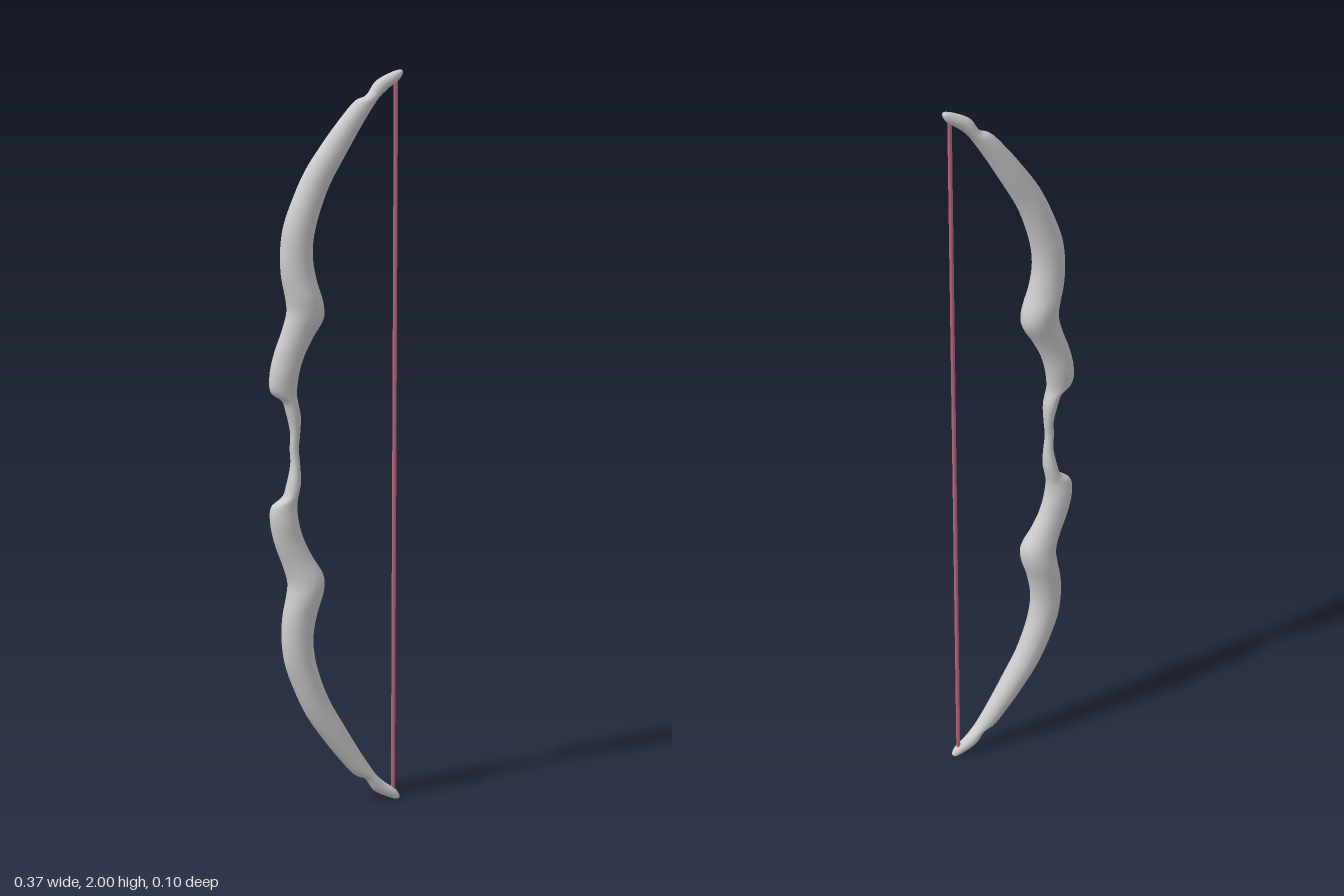
import * as THREE from 'three';

// Upper half of the stave, from grip to tip:
// [outer x, outer y, inner x, inner y, half width in z]
const SECTIONS = [
  [-0.13, 1.0, -0.105, 1.0, 0.013],
  [-0.128, 1.04, -0.102, 1.04, 0.016],
  [-0.14, 1.1, -0.1, 1.09, 0.024],
  [-0.15, 1.13, -0.106, 1.12, 0.027],
  [-0.182, 1.155, -0.11, 1.15, 0.029],
  [-0.185, 1.2, -0.105, 1.2, 0.034],
  [-0.172, 1.26, -0.09, 1.25, 0.034],
  [-0.15, 1.32, -0.065, 1.3, 0.037],
  [-0.137, 1.37, -0.036, 1.35, 0.045],
  [-0.141, 1.41, -0.037, 1.39, 0.049],
  [-0.151, 1.46, -0.055, 1.45, 0.045],
  [-0.154, 1.52, -0.066, 1.51, 0.042],
  [-0.146, 1.59, -0.064, 1.56, 0.041],
  [-0.122, 1.66, -0.05, 1.62, 0.039],
  [-0.085, 1.74, -0.02, 1.7, 0.036],
  [-0.038, 1.81, 0.022, 1.775, 0.033],
  [0.012, 1.875, 0.066, 1.85, 0.028],
  [0.055, 1.922, 0.1, 1.903, 0.024],
  [0.083, 1.934, 0.117, 1.927, 0.021],
  [0.108, 1.97, 0.143, 1.951, 0.019],
  [0.148, 1.992, 0.175, 1.975, 0.015],
  [0.172, 2.0, 0.184, 1.993, 0.009],
  [0.182, 2.0, 0.182, 2.0, 0],
];

// Loft elliptical rings between the outer and inner edge of the stave
function staveGeometry(sides = 16, steps = 160) {
  const mirrored = SECTIONS.slice(1).reverse().map(([a, b, c, d, w]) => [a, 2 - b, c, 2 - d, w]);
  const all = [...mirrored, ...SECTIONS];
  const outer = new THREE.CatmullRomCurve3(all.map(s => new THREE.Vector3(s[0], s[1], s[4])));
  const inner = new THREE.CatmullRomCurve3(all.map(s => new THREE.Vector3(s[2], s[3], 0)));
  const pos = [], index = [];
  for (let i = 0; i <= steps; i++) {
    const o = outer.getPoint(i / steps), n = inner.getPoint(i / steps);
    for (let j = 0; j < sides; j++) {
      const a = (j / sides) * Math.PI * 2, k = (1 + Math.cos(a)) / 2;
      pos.push(o.x + (n.x - o.x) * k, o.y + (n.y - o.y) * k, Math.sin(a) * o.z);
      if (i === steps) continue;
      const p = i * sides + j, q = i * sides + (j + 1) % sides;
      index.push(p, p + sides, q, q, p + sides, q + sides);
    }
  }
  const g = new THREE.BufferGeometry();
  g.setAttribute('position', new THREE.Float32BufferAttribute(pos, 3));
  g.setIndex(index);
  g.computeVertexNormals();
  return g;
}

export function createModel() {
  const group = new THREE.Group();
  group.name = 'bow';

  const paleGrey = new THREE.MeshStandardMaterial({ color: 0xcccccc });
  paleGrey.name = 'paleGrey';
  const rose = new THREE.MeshStandardMaterial({ color: 0xb8657f });
  rose.name = 'rose';

  // Curved stave with grip and both limbs
  const stave = new THREE.Mesh(staveGeometry(), paleGrey);
  stave.name = 'stave';
  group.add(stave);

  // Taut string between the tips
  const string = new THREE.Mesh(new THREE.CylinderGeometry(0.006, 0.006, 1.95, 8), rose);
  string.name = 'string';
  string.position.set(0.165, 1, 0);
  group.add(string);

  return group;
}
